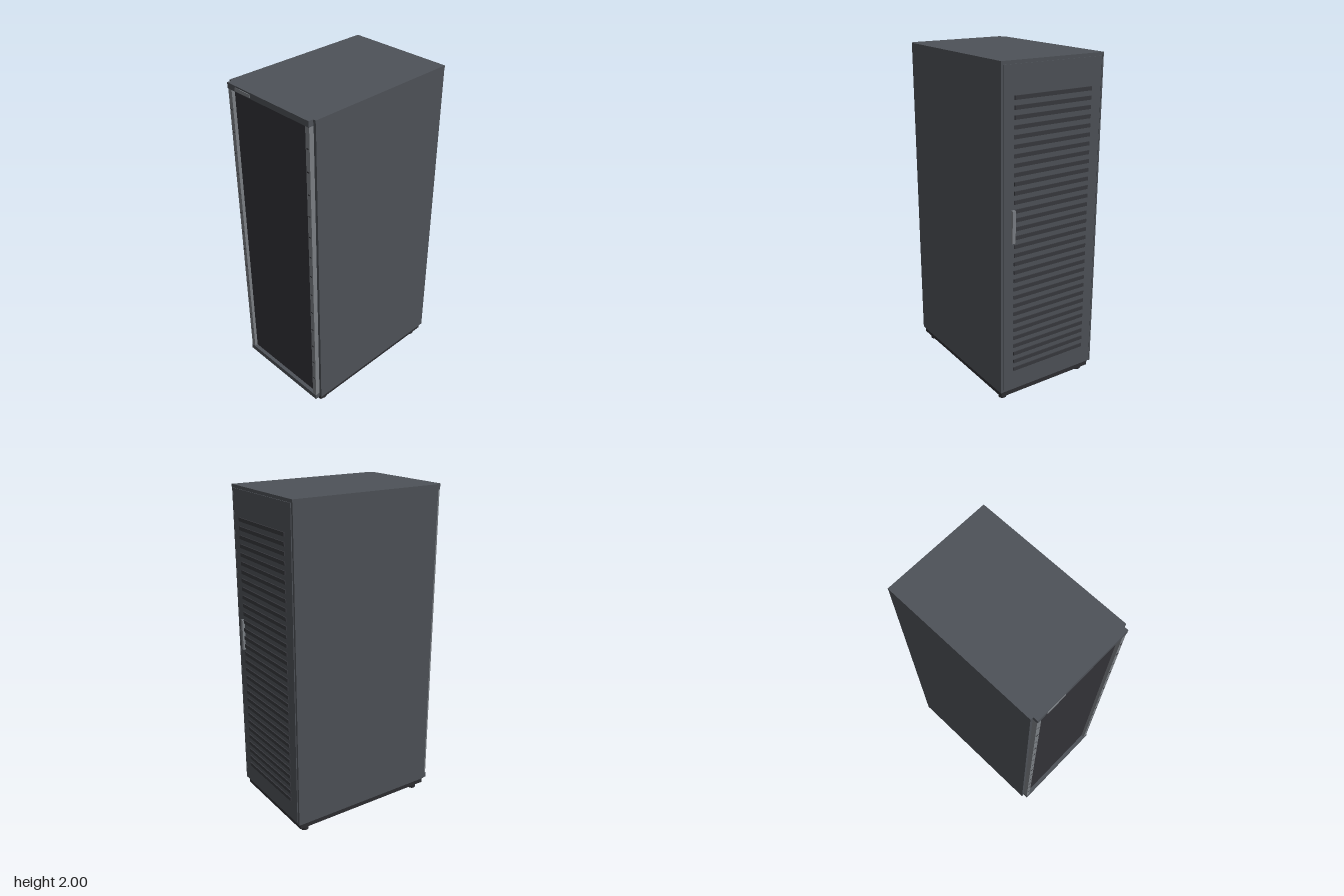
import * as THREE from 'three';

const mat = (name, color) => {
  const m = new THREE.MeshStandardMaterial({ color });
  m.name = name;
  return m;
};

export function createModel() {
  const root = new THREE.Group();
  root.name = 'equipmentCabinet';

  const steel = mat('slate steel', 0x4e5258);
  const glass = mat('dark door panel', 0x333237);
  const rail = mat('light grey metal', 0x7c8085);
  const dark = mat('black base', 0x2e2e32);
  const louverMat = mat('dark louver', 0x38393e);

  // Box given by its lower and upper limits on each axis
  const box = (name, m, [x0, x1], [y0, y1], [z0, z1], parent = root) => {
    const mesh = new THREE.Mesh(new THREE.BoxGeometry(x1 - x0, y1 - y0, z1 - z0), m);
    mesh.position.set((x0 + x1) / 2, (y0 + y1) / 2, (z0 + z1) / 2);
    mesh.name = name;
    parent.add(mesh);
    return mesh;
  };

  // Cabinet shell
  box('cabinetBody', steel, [-0.335, 0.335], [0.07, 1.995], [-0.492, 0.475]);
  box('topPanel', steel, [-0.338, 0.338], [1.985, 2], [-0.496, 0.478]);
  for (const s of [-1, 1]) {
    const side = box('sidePanel', steel, [-0.005, 0.005], [0.07, 1.99], [-0.494, 0.477]);
    side.position.x = s * 0.333;
  }

  // Plinth and levelling feet
  box('plinth', dark, [-0.325, 0.325], [0.033, 0.07], [-0.48, 0.47]);
  for (const x of [-0.285, 0.285]) {
    for (const z of [-0.428, 0.417]) {
      const foot = new THREE.Mesh(new THREE.CylinderGeometry(0.025, 0.025, 0.034, 16), dark);
      foot.position.set(x, 0.017, z);
      foot.name = 'foot';
      root.add(foot);
    }
  }

  // Front door: dark panel in a frame
  const front = new THREE.Group();
  front.name = 'frontDoor';
  root.add(front);
  box('doorPanel', glass, [-0.3, 0.3], [0.08, 1.98], [0.47, 0.484], front);
  box('doorHeader', steel, [-0.32, 0.32], [1.966, 2], [0.475, 0.507], front);
  box('doorSill', steel, [-0.32, 0.32], [0.06, 0.094], [0.475, 0.507], front);
  box('headerPlate', rail, [-0.255, -0.13], [1.971, 1.991], [0.506, 0.51], front);
  for (const s of [-1, 1]) {
    const post = box('mountingRail', rail, [-0.0145, 0.0145], [0.094, 1.966], [0.475, 0.504], front);
    post.position.x = s * 0.3045;
    // Slots spaced evenly up the rail
    for (let i = 0; i < 13; i++) {
      const y = 0.24 + i * 0.1337;
      const slot = box('railSlot', dark, [-0.007, 0.007], [y - 0.003, y + 0.003], [0.503, 0.506], front);
      slot.position.x = s * 0.3045;
    }
  }

  // Rear door with louvers and handle
  const rear = new THREE.Group();
  rear.name = 'rearDoor';
  root.add(rear);
  box('rearPanel', steel, [-0.32, 0.32], [0.085, 1.98], [-0.497, -0.485], rear);
  for (let i = 0; i < 32; i++) {
    const y = 0.21 + i * 0.0516;
    box('louver', louverMat, [-0.255, 0.255], [y - 0.011, y + 0.011], [-0.503, -0.49], rear);
  }
  box('rearHandle', rail, [0.254, 0.274], [1.01, 1.2], [-0.513, -0.495], rear);

  return root;
}
